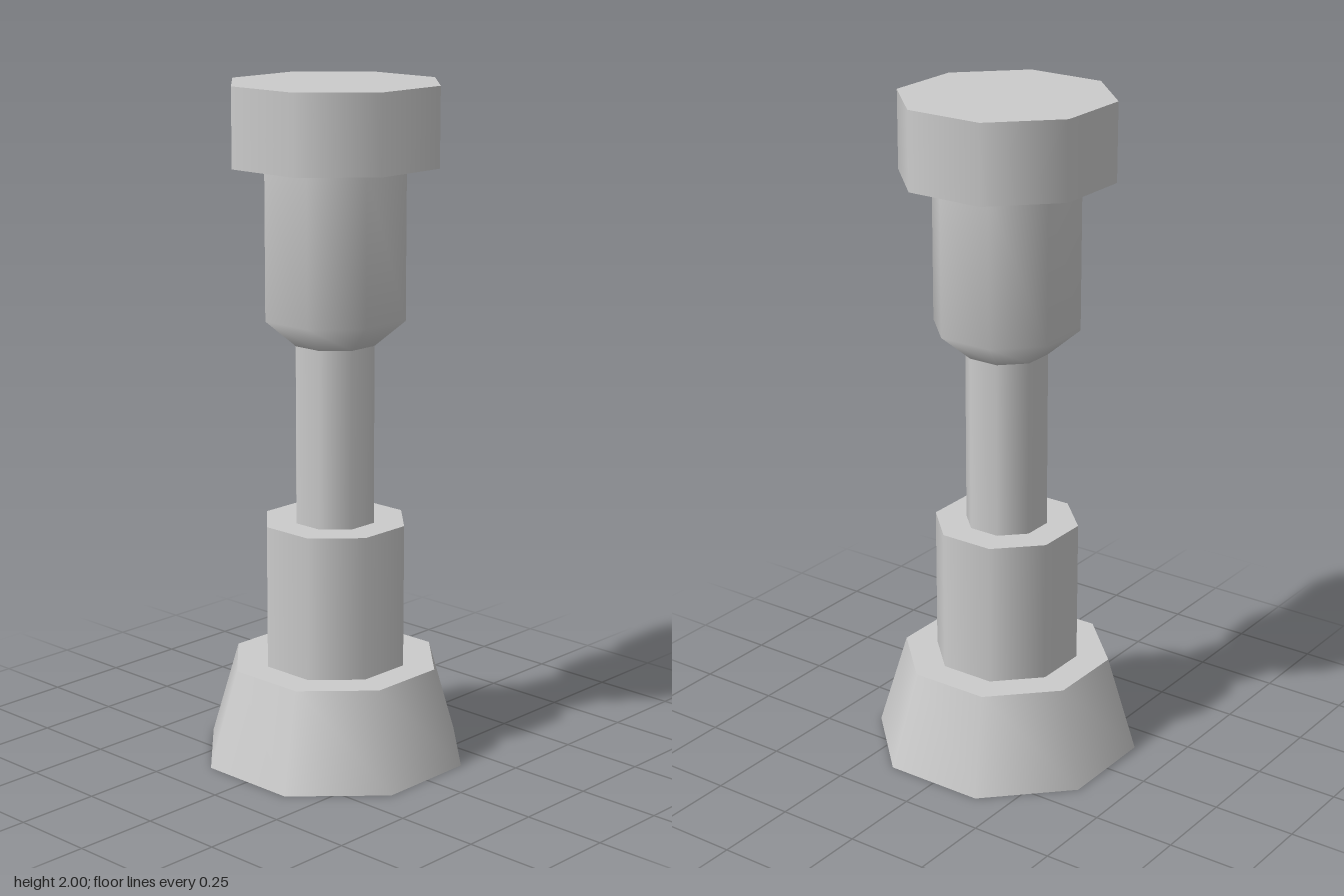
import * as THREE from 'three';

const SIDES = 8;
const TURN = Math.PI / SIDES; // turns a flat side to the front
const round = (apothem) => apothem / Math.cos(TURN); // flat-to-centre distance to corner radius

export function createModel() {
  const group = new THREE.Group();
  const material = new THREE.MeshStandardMaterial({ color: 0xcccccc, side: THREE.DoubleSide });

  const add = (name, geometry) => {
    const mesh = new THREE.Mesh(geometry, material);
    mesh.name = name;
    group.add(mesh);
  };

  // Open octagonal wall from a profile of [apothem, y], bottom to top
  const wall = (name, profile) => add(name, new THREE.LatheGeometry(
    profile.map(([r, y]) => new THREE.Vector2(round(r), y)), SIDES, TURN));

  // Flat octagon facing up, or down if flipped
  const disc = (name, apothem, y, down = false) => add(name,
    new THREE.CircleGeometry(round(apothem), SIDES, TURN)
      .rotateX(down ? Math.PI / 2 : -Math.PI / 2).translate(0, y, 0));

  // Flared foot, hollow underneath
  wall('foot', [[0.37, 0], [0.29, 0.29]]);
  disc('footTop', 0.29, 0.29);

  // Lower collar
  wall('collar', [[0.2, 0.29], [0.2, 0.72]]);
  disc('collarTop', 0.2, 0.72);

  // Slim stem
  wall('stem', [[0.113, 0.72], [0.113, 1.25]]);

  // Upper cup with a softly shaded taper
  wall('cup', [[0.113, 1.25], [0.2, 1.33], [0.2, 1.77]]);

  // Head
  wall('head', [[0.29, 1.77], [0.29, 2]]);
  disc('headBottom', 0.29, 1.77, true);
  disc('headTop', 0.29, 2);

  return group;
}
